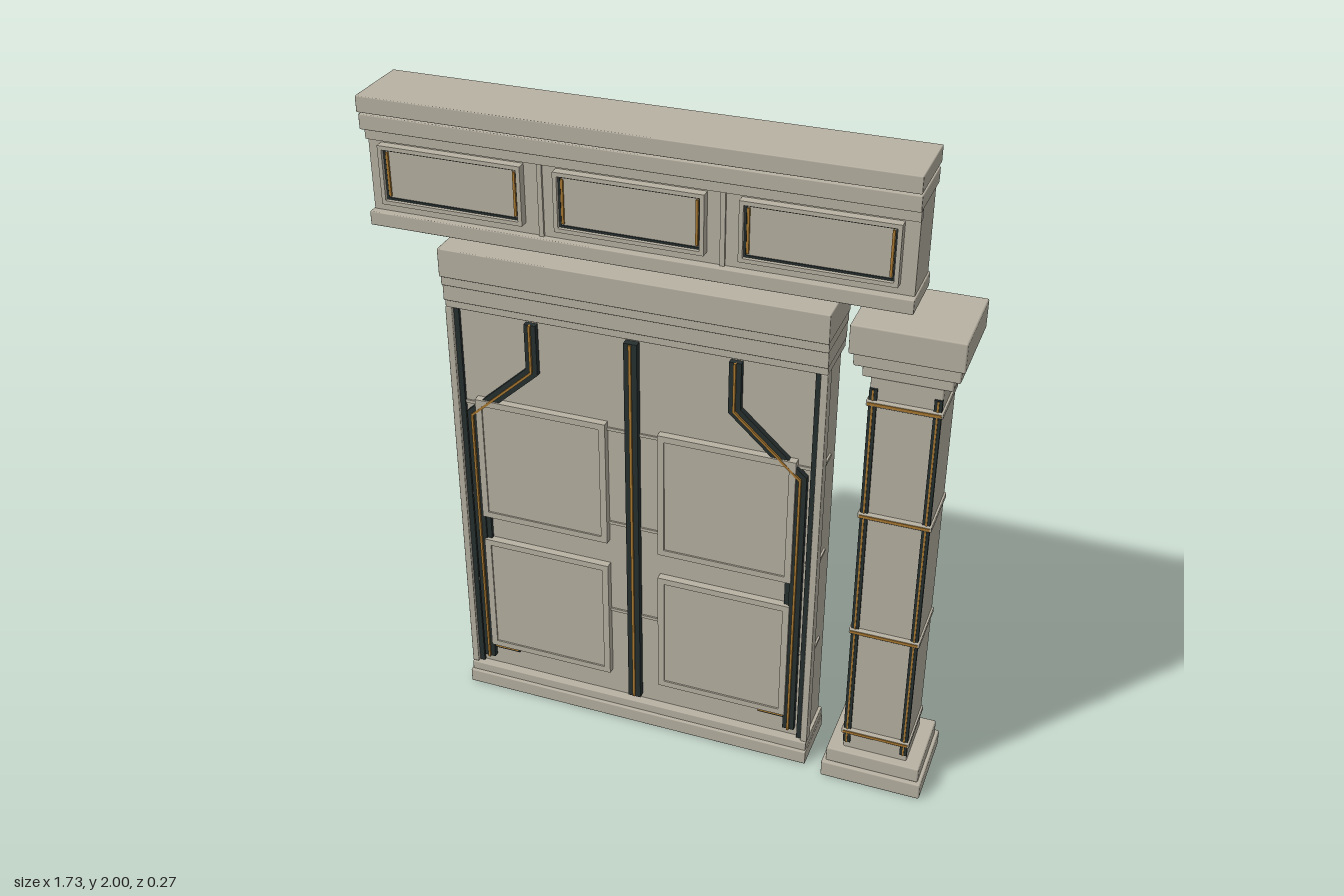
import * as THREE from 'three';
import { RoundedBoxGeometry } from 'three/addons/geometries/RoundedBoxGeometry.js';

const stone = new THREE.MeshStandardMaterial({ color: 0xb8b2a3 });
stone.name = 'warm grey stone';
const dark = new THREE.MeshStandardMaterial({ color: 0x27302f });
dark.name = 'dark metal';
const gold = new THREE.MeshStandardMaterial({ color: 0xa87830 });
gold.name = 'aged gold';

function group(name, parent) {
  const g = new THREE.Group();
  g.name = name;
  parent.add(g);
  return g;
}

// Box given by its limits on each axis; large stone blocks get a fine bevel
function block(parent, name, mat, x0, x1, y0, y1, z0, z1, bevel = 0) {
  const s = [x1 - x0, y1 - y0, z1 - z0];
  const geo = bevel ? new RoundedBoxGeometry(...s, 1, bevel) : new THREE.BoxGeometry(...s);
  const m = new THREE.Mesh(geo, mat);
  m.position.set((x0 + x1) / 2, (y0 + y1) / 2, (z0 + z1) / 2);
  m.name = name;
  parent.add(m);
  return m;
}

// Flat strip of constant width following a path of [x, y] points, mitred at bends
function strip(parent, name, mat, path, width, z0, z1) {
  const pts = path.map(p => new THREE.Vector2(...p));
  const normal = (a, b) => new THREE.Vector2(a.y - b.y, b.x - a.x).normalize();
  const side = k => pts.map((p, i) => {
    const a = normal(pts[Math.max(i - 1, 0)], pts[Math.max(i, 1)]);
    const b = normal(pts[Math.min(i, pts.length - 2)], pts[Math.min(i + 1, pts.length - 1)]);
    const n = a.clone().add(b).normalize();
    return p.clone().addScaledVector(n, k * width / 2 / n.dot(a));
  });
  const shape = new THREE.Shape([...side(1), ...side(-1).reverse()]);
  const geo = new THREE.ExtrudeGeometry(shape, { depth: z1 - z0, bevelEnabled: false });
  const m = new THREE.Mesh(geo, mat);
  m.position.z = z0;
  m.name = name;
  parent.add(m);
}

// Rectangular frame with an open middle
function frame(parent, name, mat, x0, x1, y0, y1, w, z0, z1) {
  const rect = (i, T) => new T([[x0 + i, y0 + i], [x1 - i, y0 + i], [x1 - i, y1 - i], [x0 + i, y1 - i]]
    .map(p => new THREE.Vector2(...p)));
  const shape = rect(0, THREE.Shape);
  shape.holes.push(rect(w, THREE.Path));
  const m = new THREE.Mesh(new THREE.ExtrudeGeometry(shape, { depth: z1 - z0, bevelEnabled: false }), mat);
  m.position.z = z0;
  m.name = name;
  parent.add(m);
}

// Overhead beam with three framed panels
function buildBeam(root) {
  const g = group('beam', root);
  const L = -0.865, R = 0.705;
  block(g, 'beamCap', stone, L, R, 1.952, 2.0, -0.11, 0.11, 0.003);
  block(g, 'beamCapCore', stone, L + 0.005, R - 0.005, 1.94, 1.96, -0.085, -0.025);
  block(g, 'beamMoulding', stone, L, R, 1.9, 1.945, -0.1, 0.102, 0.003);
  block(g, 'beamBody', stone, L + 0.005, R - 0.005, 1.64, 1.91, -0.085, 0.068);
  block(g, 'beamRail', stone, L + 0.003, R - 0.003, 1.865, 1.895, 0.06, 0.08);
  block(g, 'beamFoot', stone, L, R, 1.61, 1.652, -0.09, 0.092, 0.003);
  for (const x of [-0.342, 0.18]) block(g, 'beamDivider', stone, x - 0.007, x + 0.007, 1.65, 1.866, 0.06, 0.075);
  for (const x of [-0.605, -0.08, 0.445]) {
    const p = group('beamPanel', g);
    block(p, 'panelPlate', stone, x - 0.2, x + 0.2, 1.69, 1.845, 0.06, 0.08);
    frame(p, 'panelFrame', stone, x - 0.215, x + 0.215, 1.682, 1.857, 0.012, 0.065, 0.095);
    frame(p, 'panelGroove', dark, x - 0.203, x + 0.203, 1.694, 1.845, 0.006, 0.066, 0.084);
    for (const s of [-1, 1])
      block(p, 'panelInlay', gold, x + s * 0.192 - 0.0035, x + s * 0.192 + 0.0035, 1.705, 1.835, 0.076, 0.086);
  }
}

// Free-standing pillar with stepped base and capital
function buildPillar(root) {
  const g = group('pillar', root);
  const c = 0.706;
  const tiers = [
    ['pillarPlinth', 0.155, 0, 0.056, -0.133, 0.133],
    ['pillarBaseStep', 0.144, 0.054, 0.106, -0.117, 0.121],
    ['pillarShaft', 0.099, 0.1, 1.412, -0.085, 0.094],
    ['capitalNeck', 0.123, 1.408, 1.452, -0.09, 0.096],
    ['capitalStep', 0.144, 1.45, 1.492, -0.114, 0.121],
    ['capitalSlab', 0.155, 1.49, 1.578, -0.135, 0.135],
  ];
  for (const [n, h, y0, y1, z0, z1] of tiers) block(g, n, stone, c - h, c + h, y0, y1, z0, z1, 0.005);
  for (const s of [-1, 1]) {
    const x = c + s * 0.088;
    block(g, 'pillarInlayDark', dark, x - 0.011, x + 0.011, 0.13, 1.378, 0.088, 0.1);
    block(g, 'pillarInlayGold', gold, x - 0.0025, x + 0.0025, 0.13, 1.375, 0.092, 0.103);
  }
  for (const y of [0.175, 0.56, 0.97, 1.335]) {
    block(g, 'pillarBand', stone, c - 0.105, c + 0.105, y - 0.009, y + 0.009, -0.082, 0.106, 0.003);
    block(g, 'pillarBandGold', gold, c - 0.1, c + 0.1, y - 0.004, y + 0.004, 0.1, 0.1085);
  }
}

// Large double door slab with raised panels and inlaid conduits
function buildDoor(root) {
  const g = group('door', root);
  const c = -0.08;
  const tiers = [
    ['doorSill', 0.573, 0, 0.046, -0.09, 0.105],
    ['doorSillStep', 0.57, 0.044, 0.076, -0.088, 0.095],
    ['doorSlab', 0.56, 0.07, 1.39, -0.085, 0.068],
    ['lintelNeck', 0.57, 1.385, 1.412, -0.09, 0.088],
    ['lintelStep', 0.571, 1.41, 1.462, -0.095, 0.095],
    ['lintelMoulding', 0.572, 1.46, 1.492, -0.1, 0.1],
    ['lintelCap', 0.573, 1.49, 1.578, -0.108, 0.108],
  ];
  for (const [n, h, y0, y1, z0, z1] of tiers) block(g, n, stone, c - h, c + h, y0, y1, z0, z1, 0.003);
  for (const y of [0.407, 0.737, 1.068])
    block(g, 'doorSeamRib', stone, c - 0.566, c + 0.566, y - 0.005, y + 0.005, -0.02, 0.073);

  // Central conduit
  block(g, 'centreConduit', dark, c - 0.02, c + 0.02, 0.092, 1.373, 0.06, 0.09);
  block(g, 'centreInlay', gold, c - 0.004, c + 0.004, 0.095, 1.37, 0.085, 0.095);

  for (const s of [-1, 1]) {
    const h = group(s < 0 ? 'rightDoorLeaf' : 'leftDoorLeaf', g);
    const span = (name, mat, a, b, ...rest) =>
      block(h, name, mat, Math.min(c + s * a, c + s * b), Math.max(c + s * a, c + s * b), ...rest);
    // Edge post
    span('edgePost', stone, 0.55, 0.571, 0.076, 1.387, 0.05, 0.09, 0.003);
    span('edgePostGroove', dark, 0.534, 0.55, 0.076, 1.387, 0.06, 0.078);
    // Bent conduit with gold core
    const path = [[0.308, 1.372], [0.308, 1.218], [0.508, 1.035], [0.508, 0.11]].map(([x, y]) => [c + s * x, y]);
    // Mirrored outline is re-oriented by the shape triangulation
    strip(h, 'bentConduit', dark, path, 0.036, 0.06, 0.086);
    strip(h, 'bentConduitInlay', gold, path, 0.007, 0.08, 0.093);
    // Raised panels
    for (const [y0, y1] of [[0.165, 0.585], [0.672, 1.092]]) {
      span('doorPanel', stone, 0.085, 0.49, y0 + 0.005, y1 - 0.005, 0.06, 0.087);
      frame(h, 'doorPanelFrame', stone, c + s * 0.288 - 0.207, c + s * 0.288 + 0.207, y0, y1, 0.02, 0.06, 0.092);
    }
    // Short connector between panels and foot vents
    span('panelConnector', dark, 0.475, 0.495, 0.585, 0.672, 0.06, 0.08);
    span('footVent', dark, 0.405, 0.49, 0.143, 0.161, 0.06, 0.076);
    span('footVentInlay', gold, 0.408, 0.488, 0.149, 0.155, 0.07, 0.079);
  }
}

export function createModel() {
  const root = new THREE.Group();
  root.name = 'ornateDoorway';
  buildBeam(root);
  buildPillar(root);
  buildDoor(root);
  return root;
}
